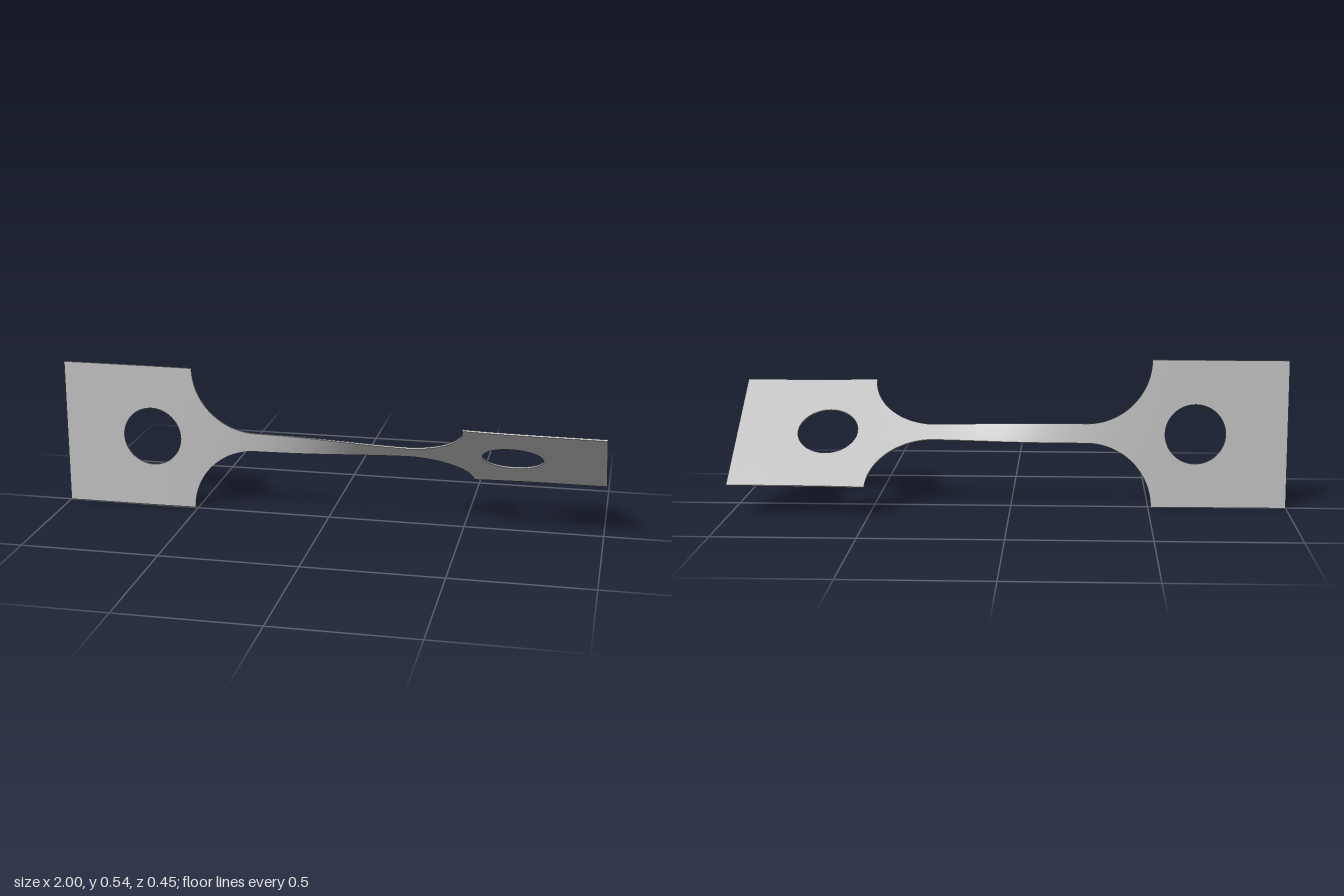
import * as THREE from 'three';
import { toCreasedNormals } from 'three/addons/utils/BufferGeometryUtils.js';

const MID_Y = 0.2705;     // height of the twist axis
const TAB = 0.2705;       // half width of the end tabs
const FILLET_X = 0.275;   // where the fillet meets the neck
const FILLET_R = 0.235;
const HOLE_X = 0.668, HOLE_R = 0.109;
const HALF_T = 0.003;     // half the sheet thickness

// Half width of the outline at x
function outer(x) {
  const d = Math.abs(x) - FILLET_X;
  if (d >= FILLET_R - 1e-6) return TAB;
  if (d <= 0) return TAB - FILLET_R;
  return TAB - Math.sqrt(FILLET_R ** 2 - d ** 2);
}

// Half height of the hole at x, zero outside it
function hole(x) {
  const d = Math.abs(x) - HOLE_X;
  return Math.abs(d) < HOLE_R - 1e-6 ? Math.sqrt(HOLE_R ** 2 - d * d) : 0;
}

// Twist about the long axis, gathered in the neck
function twist(x) {
  return THREE.MathUtils.degToRad(0.4 + 54.6 / (1 + Math.exp(-7.5 * x)));
}

// Point of the twisted sheet: v across the width, n through the thickness
function point(x, v, n) {
  const a = twist(x), c = Math.cos(a), s = Math.sin(a);
  return [x, MID_Y + v * c - n * s, v * s + n * c];
}

// Column positions, packed closely at the hole and fillet ends
function columns() {
  const right = [];
  const span = (from, to, count, place) => {
    for (let i = 0; i < count; i++) right.push(from + (to - from) * place(i / count));
  };
  const even = (t) => t;
  span(0, FILLET_X, 14, even);
  span(FILLET_X, FILLET_X + FILLET_R, 28, (t) => Math.sin(t * Math.PI / 2));
  span(FILLET_X + FILLET_R, HOLE_X - HOLE_R, 2, even);
  span(HOLE_X - HOLE_R, HOLE_X + HOLE_R, 32, (t) => (1 - Math.cos(t * Math.PI)) / 2);
  span(HOLE_X + HOLE_R, 1, 6, even);
  right.push(1);
  return [...right.slice(1).reverse().map((x) => -x), ...right];
}

function sheetGeometry() {
  const positions = [];
  const quad = (a, b, c, d) => positions.push(...a, ...b, ...c, ...a, ...c, ...d);
  const xs = columns();

  for (const side of [1, -1]) {
    // Four-cornered section of the upper or lower half, one for each column
    const sections = xs.map((x) => {
      const [lo, hi] = side > 0 ? [hole(x), outer(x)] : [-outer(x), -hole(x)];
      return [point(x, lo, HALF_T), point(x, hi, HALF_T), point(x, hi, -HALF_T), point(x, lo, -HALF_T)];
    });
    const innerWall = side > 0 ? 3 : 1;
    for (let i = 0; i < xs.length - 1; i++) {
      const p = sections[i], q = sections[i + 1];
      const inHole = hole(xs[i]) > 0 || hole(xs[i + 1]) > 0;
      for (let k = 0; k < 4; k++) {
        if (k === innerWall && !inHole) continue;
        const m = (k + 1) % 4;
        quad(p[k], q[k], q[m], p[m]);
      }
    }
    // End caps
    const first = sections[0], last = sections[sections.length - 1];
    quad(first[0], first[1], first[2], first[3]);
    quad(last[3], last[2], last[1], last[0]);
  }

  const geometry = new THREE.BufferGeometry();
  geometry.setAttribute('position', new THREE.Float32BufferAttribute(positions, 3));
  return toCreasedNormals(geometry, 0.6);
}

export function createModel() {
  const greyMetal = new THREE.MeshStandardMaterial({ color: 0xc0c0c0 });
  greyMetal.name = 'greyMetal';

  const sheet = new THREE.Mesh(sheetGeometry(), greyMetal);
  sheet.name = 'twistedStrip';

  const group = new THREE.Group();
  group.name = 'twistedTestStrip';
  group.add(sheet);
  return group;
}
